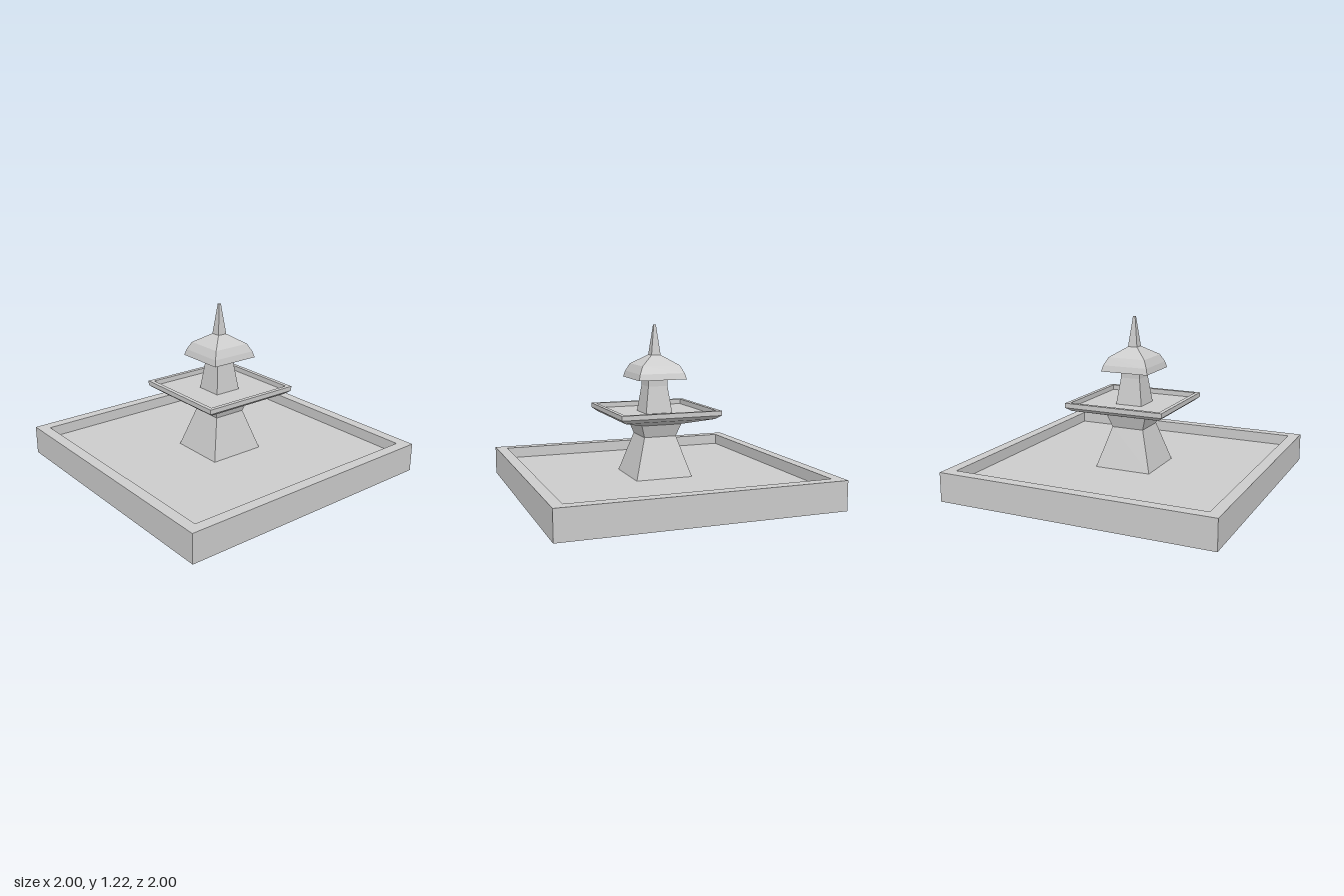
import * as THREE from 'three';

const material = new THREE.MeshStandardMaterial({ color: 0xcccccc, flatShading: true });

// Square part turned from a profile of [half width, height], bottom to top
function squareLathe(name, profile) {
  const points = profile.map(([half, y]) => new THREE.Vector2(half * Math.SQRT2, y));
  const geometry = new THREE.LatheGeometry(points, 4, Math.PI / 4).toNonIndexed();
  geometry.computeVertexNormals();
  const mesh = new THREE.Mesh(geometry, material);
  mesh.name = name;
  return mesh;
}

export function createModel() {
  const fountain = new THREE.Group();
  fountain.name = 'fountain';
  fountain.add(
    // Wide pool with a raised rim and sunken floor
    squareLathe('pool', [[0, 0], [1, 0], [1, 0.21], [0.92, 0.21], [0.92, 0.13], [0, 0.13]]),
    // Tapered foot that pinches, then flares to meet the bowl
    squareLathe('pedestal', [[0.21, 0.13], [0.12, 0.42], [0.15, 0.51]]),
    // Shallow upper bowl with a thin lip
    squareLathe('bowl', [
      [0, 0.51], [0.15, 0.51], [0.335, 0.563], [0.37, 0.59], [0.37, 0.623],
      [0.34, 0.623], [0.34, 0.587], [0, 0.587],
    ]),
    // Column between the bowl and the cap
    squareLathe('column', [[0.1, 0.587], [0.073, 0.78], [0.073, 0.836]]),
    // Overhanging domed cap
    squareLathe('cap', [[0, 0.834], [0.18, 0.834], [0.168, 0.878], [0.14, 0.933], [0.035, 1.002]]),
    // Slender spire with a blunt tip
    squareLathe('spire', [[0.035, 1.002], [0.008, 1.22], [0, 1.22]]),
  );
  return fountain;
}
